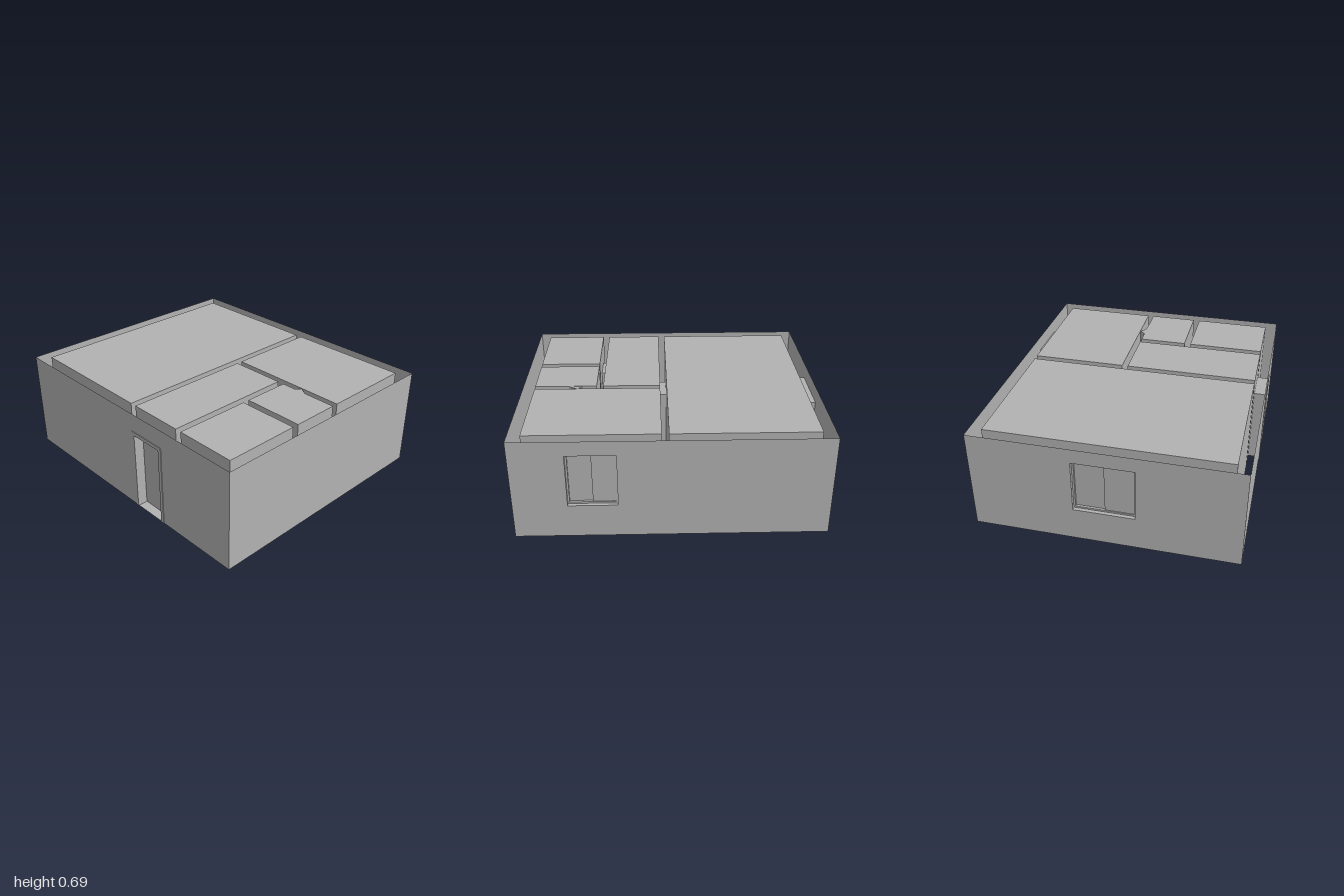
import * as THREE from 'three';

const H = 0.69;        // wall height
const X = 1, Z = 0.87; // outer half sizes

// Openings: `axis` is the direction the wall runs, f0..f1 the wall thickness
const openings = [
  { name: 'frontDoor', axis: 'x', lo: 0.145, hi: 0.38, y0: 0, y1: 0.54, f0: 0.79, f1: Z },
  { name: 'backWindow', axis: 'x', lo: 0.34, hi: 0.655, y0: 0.23, y1: 0.59, f0: -Z, f1: -0.79 },
  { name: 'sideWindow', axis: 'z', lo: -0.2, hi: 0.2, y0: 0.23, y1: 0.59, f0: -X, f1: -0.92 },
  { name: 'livingDoorway', axis: 'z', lo: 0.05, hi: 0.26, y0: 0, y1: 0.54, f0: 0.02, f1: 0.065 },
  { name: 'bathDoorway', axis: 'z', lo: -0.045, hi: 0.14, y0: 0, y1: 0.54, f0: 0.455, f1: 0.5 },
  { name: 'studyDoorway', axis: 'z', lo: 0.43, hi: 0.615, y0: 0, y1: 0.54, f0: 0.455, f1: 0.5 },
  { name: 'bedroomDoorway', axis: 'x', lo: 0.155, hi: 0.365, y0: 0, y1: 0.54, f0: -0.15, f1: -0.11 },
];

// Rooms: x0, x1, z0, z1
const rooms = {
  livingRoom: [-0.92, 0.02, -0.79, 0.79],
  bedroom: [0.065, 0.92, -0.79, -0.15],
  hall: [0.065, 0.455, -0.11, 0.79],
  bathroom: [0.5, 0.92, -0.11, 0.22],
  study: [0.5, 0.92, 0.265, 0.79],
};

export function createModel() {
  const grey = new THREE.MeshStandardMaterial({ color: 0xb2b2b2, side: THREE.DoubleSide });
  grey.name = 'plaster grey';
  const model = new THREE.Group();
  model.name = 'house';

  const add = (parent, name, geometry, x = 0, y = 0, z = 0) => {
    const mesh = new THREE.Mesh(geometry, grey);
    mesh.name = name;
    mesh.position.set(x, y, z);
    parent.add(mesh);
    return mesh;
  };

  // Group whose local x runs along the wall and whose local z is zero on its plane
  const along = (object, axis, fixed) => {
    if (axis === 'x') object.position.z = fixed;
    else {
      object.position.x = fixed;
      object.rotation.y = -Math.PI / 2;
    }
  };

  // Flat wall with doorways notched out and windows cut through
  const wall = (parent, name, axis, fixed, a, b) => {
    const cuts = openings
      .filter(o => o.axis === axis && (o.f0 === fixed || o.f1 === fixed) && o.lo > a && o.hi < b)
      .sort((p, q) => p.lo - q.lo);
    const shape = new THREE.Shape().moveTo(a, 0);
    for (const o of cuts) {
      if (o.y0 === 0) {
        shape.lineTo(o.lo, 0).lineTo(o.lo, o.y1).lineTo(o.hi, o.y1).lineTo(o.hi, 0);
      } else {
        shape.holes.push(new THREE.Path().moveTo(o.lo, o.y0).lineTo(o.lo, o.y1)
          .lineTo(o.hi, o.y1).lineTo(o.hi, o.y0).closePath());
      }
    }
    shape.lineTo(b, 0).lineTo(b, H).lineTo(a, H).closePath();
    along(add(parent, name, new THREE.ShapeGeometry(shape)), axis, fixed);
  };

  const fourWalls = (parent, [x0, x1, z0, z1]) => {
    wall(parent, 'frontWall', 'x', z1, x0, x1);
    wall(parent, 'backWall', 'x', z0, x0, x1);
    wall(parent, 'leftWall', 'z', x1, z0, z1);
    wall(parent, 'rightWall', 'z', x0, z0, z1);
  };

  // Outer shell, open above and below
  const shell = new THREE.Group();
  shell.name = 'outerWalls';
  model.add(shell);
  fourWalls(shell, [-X, X, -Z, Z]);

  // Closed rooms
  for (const [name, r] of Object.entries(rooms)) {
    const room = new THREE.Group();
    room.name = name;
    model.add(room);
    fourWalls(room, r);
    const [x0, x1, z0, z1] = r;
    for (const [part, y, turn] of [['floor', 0, 1], ['ceiling', H, -1]]) {
      const slab = new THREE.PlaneGeometry(x1 - x0, z1 - z0).rotateX(turn * Math.PI / 2);
      add(room, part, slab, (x0 + x1) / 2, y, (z0 + z1) / 2);
    }
  }

  // Reveals: box sleeves lining each opening
  for (const o of openings) {
    const w = o.hi - o.lo, h = o.y1 - o.y0, d = o.f1 - o.f0;
    const sleeve = new THREE.BoxGeometry(w, h, d);
    sleeve.setIndex(Array.from(sleeve.index.array).slice(0, 24));
    const group = new THREE.Group();
    along(group, o.axis, (o.f0 + o.f1) / 2);
    group.name = o.name;
    model.add(group);
    const mid = (o.lo + o.hi) / 2, cy = (o.y0 + o.y1) / 2;
    add(group, 'reveal', sleeve, mid, cy, 0);

    // Window frame with two sliding sashes
    if (o.name.endsWith('Window')) {
      const t = 0.012;
      for (const s of [-1, 1]) {
        add(group, 'frameJamb', new THREE.BoxGeometry(t, h, 0.03), mid + s * (w - t) / 2, cy, 0);
        add(group, 'frameRail', new THREE.BoxGeometry(w, t, 0.03), mid, cy + s * (h - t) / 2, 0);
        add(group, 'sash', new THREE.BoxGeometry(w / 2, h - 2 * t, 0.008), mid + s * w / 4, cy, s * 0.005);
      }
    }
    // Front door leaf, threshold and flat outer trim
    if (o.name === 'frontDoor') {
      add(group, 'doorLeaf', new THREE.BoxGeometry(w, h, 0.01), mid, cy, -0.03);
      const trim = new THREE.Shape().moveTo(0.12, 0).lineTo(o.lo, 0).lineTo(o.lo, o.y1)
        .lineTo(o.hi, o.y1).lineTo(o.hi, 0).lineTo(0.405, 0).lineTo(0.405, 0.565).lineTo(0.12, 0.565).closePath();
      add(group, 'doorTrim', new THREE.ExtrudeGeometry(trim, { depth: 0.004, bevelEnabled: false }), 0, 0, d / 2);
    }
  }

  // Corners of fittings that reach into the wall cavities
  const prism = (name, points, y, h) => {
    const shape = new THREE.Shape(points.map(([x, z]) => new THREE.Vector2(x, -z)));
    const geometry = new THREE.ExtrudeGeometry(shape, { depth: h, bevelEnabled: false });
    add(model, name, geometry.rotateX(-Math.PI / 2), 0, y, 0);
  };
  prism('cabinetCorner', [[-0.13, -0.79], [-0.015, -0.79], [-0.02, -0.822]], 0.005, 0.2);
  prism('showerCorner', [[0.6, -0.11], [0.69, -0.11], [0.63, -0.148]], 0.4, H - 0.402);

  return model;
}
